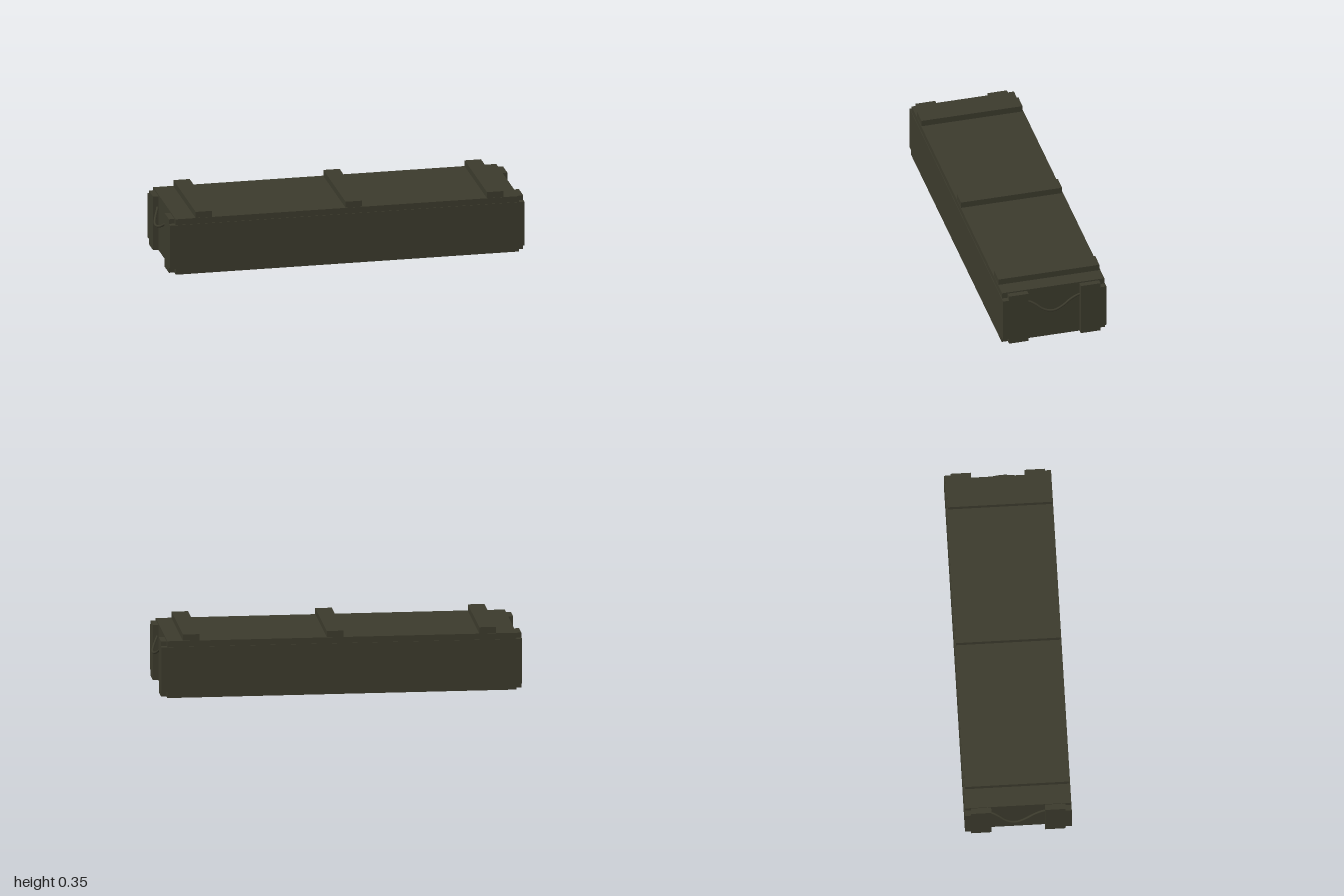
import * as THREE from 'three';

export function createModel() {
  const crate = new THREE.Group();
  crate.name = 'crate';
  const olive = new THREE.MeshStandardMaterial({ color: 0x3b3a2c });
  olive.name = 'olive paint';

  // Box given by its min and max corners
  function board(name, [x0, y0, z0], [x1, y1, z1]) {
    const mesh = new THREE.Mesh(new THREE.BoxGeometry(x1 - x0, y1 - y0, z1 - z0), olive);
    mesh.position.set((x0 + x1) / 2, (y0 + y1) / 2, (z0 + z1) / 2);
    mesh.name = name;
    crate.add(mesh);
  }

  // Body, floor and lid
  board('body', [-0.945, 0.033, -0.255], [0.945, 0.28, 0.255]);
  board('floor', [-0.945, 0, -0.287], [0.945, 0.033, 0.287]);
  board('lid', [-0.945, 0.28, -0.285], [0.945, 0.313, 0.285]);

  // Long side planks
  board('frontPlank', [-0.976, 0.033, 0.255], [0.976, 0.28, 0.288]);
  board('backPlank', [-0.976, 0.033, -0.288], [0.976, 0.28, -0.255]);

  // Battens across the lid
  for (const x of [-0.79, 0.036, 0.815])
    board('lidBatten', [x - 0.045, 0.313, -0.28], [x + 0.045, 0.347, 0.283]);

  // Upright cleats and a sagging rope handle at each end
  const ropePath = new THREE.CatmullRomCurve3([
    [0.953, 0.243, 0.155], [0.955, 0.242, 0.135], [0.967, 0.228, 0.105],
    [0.982, 0.203, 0.07], [0.99, 0.19, 0.035], [0.989, 0.188, 0],
    [0.977, 0.2, -0.045], [0.964, 0.224, -0.09], [0.956, 0.241, -0.135],
    [0.955, 0.243, -0.155],
  ].map((p) => new THREE.Vector3(...p)));
  const ropeGeometry = new THREE.TubeGeometry(ropePath, 40, 0.0065, 8);

  for (const side of [1, -1]) {
    for (const end of [1, -1]) {
      const cleat = new THREE.Mesh(new THREE.BoxGeometry(0.031, 0.303, 0.11), olive);
      cleat.position.set(side * 0.9605, 0.1545, end * 0.2);
      cleat.name = 'endCleat';
      crate.add(cleat);
    }
    const rope = new THREE.Mesh(ropeGeometry, olive);
    rope.rotation.y = side > 0 ? 0 : Math.PI;
    rope.name = 'ropeHandle';
    crate.add(rope);
  }
  return crate;
}
